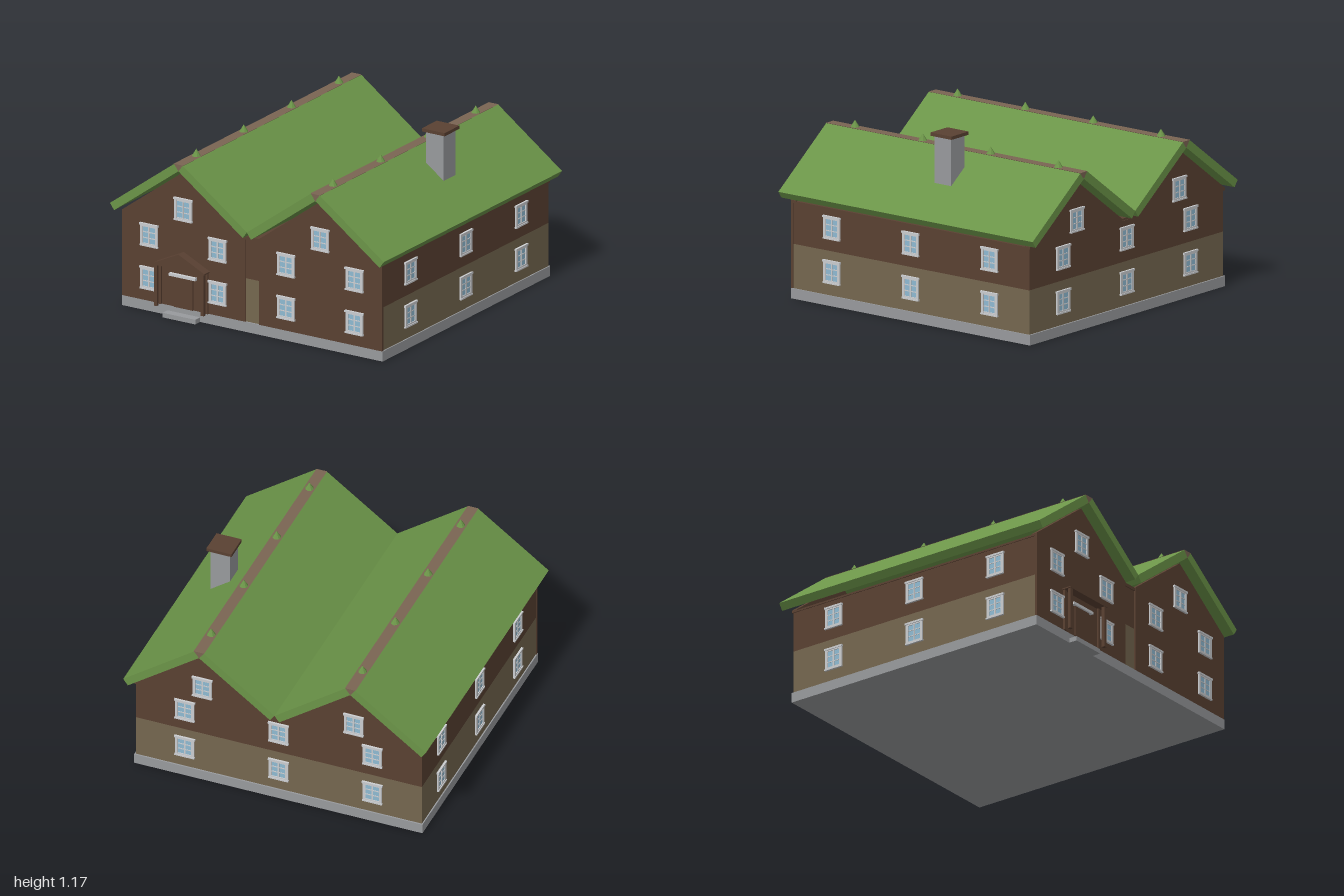
import * as THREE from 'three';

const mat = (name, color) => Object.assign(new THREE.MeshStandardMaterial({ color }), { name, flatShading: true });

export function createModel() {
  const house = new THREE.Group();
  house.name = 'house';
  const M = {
    turf: mat('turf green', 0x6b9448),
    timber: mat('dark timber', 0x5a4132),
    plaster: mat('tan boards', 0x75674f),
    ridge: mat('ridge wood', 0x7a6452),
    stone: mat('grey stone', 0x989a9d),
    frame: mat('window frame', 0xcbcdd0),
    glass: mat('window glass', 0x8fbad2),
  };

  const add = (parent, name, geo, material) => {
    const mesh = new THREE.Mesh(geo, material);
    mesh.name = name;
    parent.add(mesh);
    return mesh;
  };
  // Box given by its lower and upper corners
  const box = (parent, name, m, x0, x1, y0, y1, z0, z1) => {
    const b = add(parent, name, new THREE.BoxGeometry(x1 - x0, y1 - y0, z1 - z0), m);
    b.position.set((x0 + x1) / 2, (y0 + y1) / 2, (z0 + z1) / 2);
    return b;
  };
  // Outline in x and y, extruded from z0 to z1
  const prism = (parent, name, m, pts, z0, z1) => {
    const shape = new THREE.Shape(pts.map(([x, y]) => new THREE.Vector2(x, y)));
    const geo = new THREE.ExtrudeGeometry(shape, { depth: z1 - z0, bevelEnabled: false });
    geo.translate(0, 0, z0);
    return add(parent, name, geo, m);
  };

  // Foundation and two-tone walls
  box(house, 'foundation', M.stone, -0.953, 0.953, 0, 0.065, -0.94, 0.94);
  box(house, 'lowerWalls', M.plaster, -0.945, 0.945, 0.065, 0.345, -0.93, 0.93);
  box(house, 'upperWalls', M.timber, -0.945, 0.945, 0.345, 0.605, -0.93, 0.93);
  box(house, 'wallPlate', M.timber, -0.95, 0.95, 0.605, 0.617, -0.925, 0.925);
  box(house, 'valleyCap', M.timber, -0.05, 0.05, 0.6, 0.62, 0.9, 0.937);

  // Two matching front wings, gables and roofs
  for (const cx of [-0.5, 0.5]) {
    box(house, 'frontCladding', M.timber, cx - 0.45, cx + 0.45, 0.065, 0.605, 0.925, 0.94);
    for (const z of [-0.94, 0.9]) {
      prism(house, 'gable', M.timber, [[cx - 0.45, 0.605], [cx + 0.45, 0.605], [cx + 0.45, 0.622],
        [cx, 0.952], [cx - 0.45, 0.622]], z, z + 0.04);
    }
    prism(house, 'leftRoofSlab', M.turf, [[cx - 0.5, 0.672], [cx - 0.47, 0.63], [cx, 0.973], [cx - 0.032, 1.015]], -1, 1);
    prism(house, 'rightRoofSlab', M.turf, [[cx + 0.5, 0.672], [cx + 0.032, 1.015], [cx, 0.973], [cx + 0.47, 0.63]], -1, 1);
    prism(house, 'ridgeBeam', M.ridge, [[cx, 0.968], [cx + 0.035, 1.016], [cx - 0.035, 1.016]], -1, 1);
    for (const z of [-0.8, -0.267, 0.267, 0.8]) {
      const tuft = add(house, 'ridgeTuft', new THREE.ConeGeometry(0.03, 0.048, 8), M.turf);
      tuft.position.set(cx, 1.037, z);
    }
  }

  // Chimney
  box(house, 'chimney', M.stone, 0.632, 0.762, 0.617, 1.145, -0.168, -0.038);
  box(house, 'chimneyCap', M.timber, 0.615, 0.781, 1.145, 1.166, -0.186, -0.02);

  // Window with frame and glazing bars, facing its own +z
  const addWindow = (x, y, z, turn = 0) => {
    const w = new THREE.Group();
    w.name = 'window';
    box(w, 'glass', M.glass, -0.055, 0.055, -0.062, 0.062, -0.003, 0.004);
    for (const s of [-1, 1]) {
      const c = s * 0.054;
      box(w, 'sideFrame', M.frame, c - 0.009, c + 0.009, -0.068, 0.068, -0.003, 0.01);
      const r = s * 0.061;
      box(w, 'rail', M.frame, -0.05, 0.05, r - 0.008, r + 0.008, -0.003, 0.009);
      box(w, 'glazingBar', M.frame, -0.046, 0.046, s * 0.019 - 0.003, s * 0.019 + 0.003, -0.003, 0.007);
    }
    box(w, 'mullion', M.frame, -0.005, 0.005, -0.055, 0.055, -0.003, 0.008);
    box(w, 'lintel', M.frame, -0.068, 0.068, 0.062, 0.075, -0.003, 0.014);
    box(w, 'sill', M.frame, -0.066, 0.066, -0.073, -0.063, -0.003, 0.014);
    w.position.set(x, y, z);
    w.rotation.y = turn;
    house.add(w);
  };
  for (const y of [0.212, 0.492]) {
    for (const x of [-0.75, -0.25, 0.25, 0.75]) addWindow(x, y, 0.94);
    for (const p of [-0.62, 0, 0.62]) {
      addWindow(p, y, -0.93, Math.PI);
      addWindow(0.945, y, p, Math.PI / 2);
      addWindow(-0.945, y, p, -Math.PI / 2);
    }
  }
  for (const x of [-0.5, 0.5]) {
    addWindow(x, 0.705, 0.94);
    addWindow(x, 0.705, -0.94, Math.PI);
  }

  // Entrance: door, lintel, step and gabled porch
  const porch = new THREE.Group();
  porch.name = 'porch';
  house.add(porch);
  box(porch, 'door', M.timber, -0.57, -0.43, 0.065, 0.265, 0.935, 0.948);
  box(porch, 'doorLintel', M.frame, -0.597, -0.403, 0.265, 0.283, 0.935, 0.96);
  box(porch, 'step', M.stone, -0.62, -0.38, 0, 0.03, 0.93, 0.995);
  for (const s of [-1, 1]) {
    const x = -0.5 + s * 0.171;
    box(porch, 'post', M.timber, x - 0.011, x + 0.011, 0.065, 0.335, 0.976, 0.997);
    box(porch, 'wallPost', M.timber, x - 0.011, x + 0.011, 0.065, 0.335, 0.935, 0.952);
  }
  prism(porch, 'porchRoof', M.timber, [[-0.69, 0.333], [-0.31, 0.333], [-0.31, 0.341], [-0.5, 0.432], [-0.69, 0.341]], 0.935, 1);

  return house;
}
